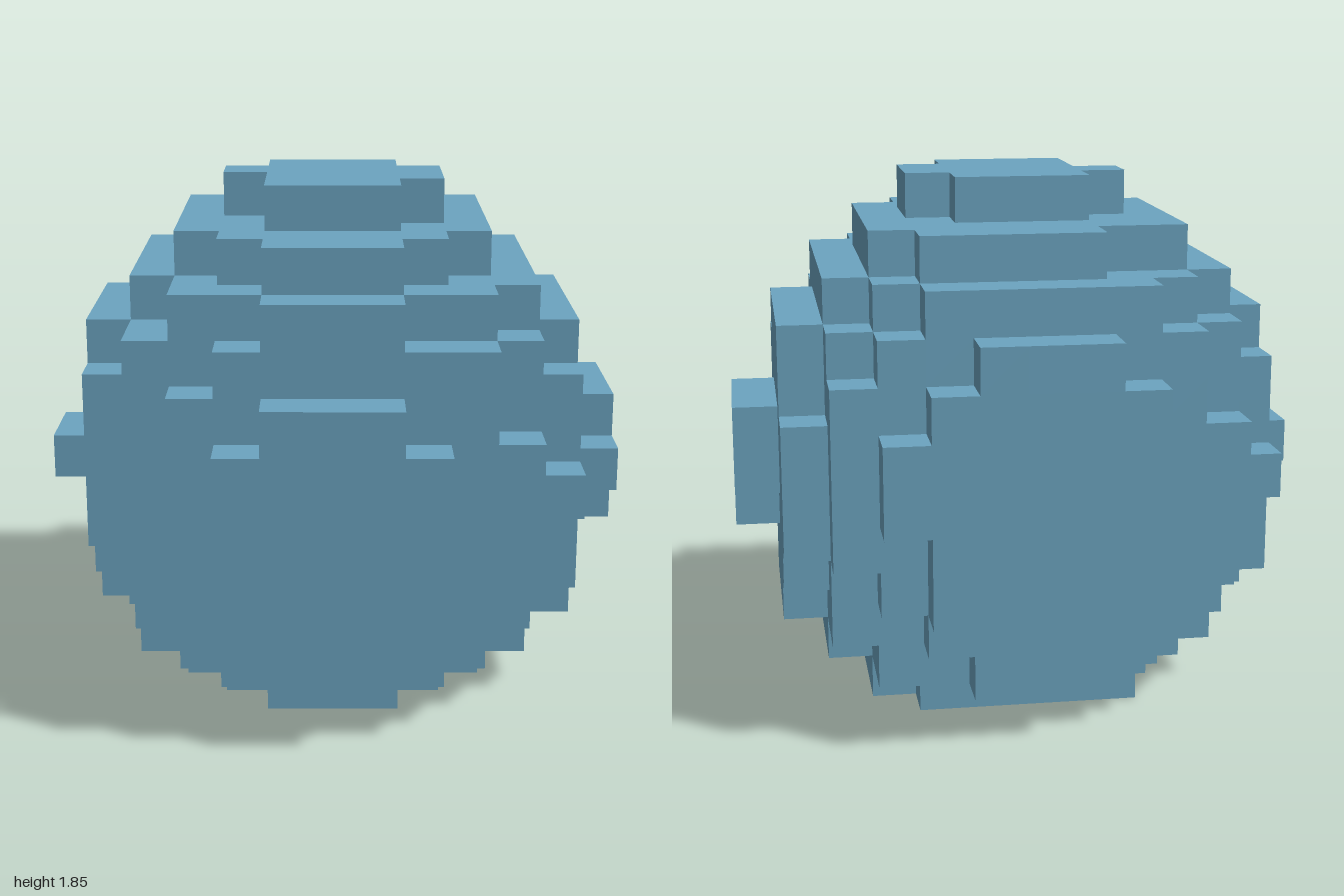
import * as THREE from 'three';
import { mergeGeometries } from 'three/addons/utils/BufferGeometryUtils.js';

// Block grid: 13 x 12 x 12 cubes, filled by a slightly off-centre sphere
const SIZE = 2 / 13;
const COUNT = [13, 12, 12];
const CENTRE = [6.1, 5.24, 5.35];
const RADIUS_SQ = 37.81;

const filled = (cell) =>
  cell.every((c, a) => c >= 0 && c < COUNT[a]) &&
  cell.reduce((sum, c, a) => sum + (c - CENTRE[a]) ** 2, 0) <= RADIUS_SQ;

// One square per cube side, facing outward along the given direction
const sides = [
  [1, 0, 0], [-1, 0, 0], [0, 1, 0], [0, -1, 0], [0, 0, 1], [0, 0, -1],
].map((dir) => {
  const square = new THREE.PlaneGeometry(SIZE, SIZE);
  square.translate(0, 0, SIZE / 2);
  if (dir[1]) square.rotateX(-dir[1] * Math.PI / 2);
  else square.rotateY(Math.atan2(dir[0], dir[2]));
  return { dir, square };
});

export function createModel() {
  const group = new THREE.Group();
  group.name = 'blockSphere';
  const blue = new THREE.MeshStandardMaterial({ color: 0x6ca4c0 });
  blue.name = 'softBlue';

  // Keep only the cube sides that border empty space
  const faces = [];
  for (let i = 0; i < COUNT[0]; i++)
    for (let j = 0; j < COUNT[1]; j++)
      for (let k = 0; k < COUNT[2]; k++) {
        const cell = [i, j, k];
        if (!filled(cell)) continue;
        for (const { dir, square } of sides) {
          if (filled(cell.map((c, a) => c + dir[a]))) continue;
          faces.push(square.clone().translate((i - 6) * SIZE, (j + 0.5) * SIZE, (k - 5.5) * SIZE));
        }
      }

  const shell = new THREE.Mesh(mergeGeometries(faces), blue);
  shell.name = 'steppedShell';
  group.add(shell);
  return group;
}
